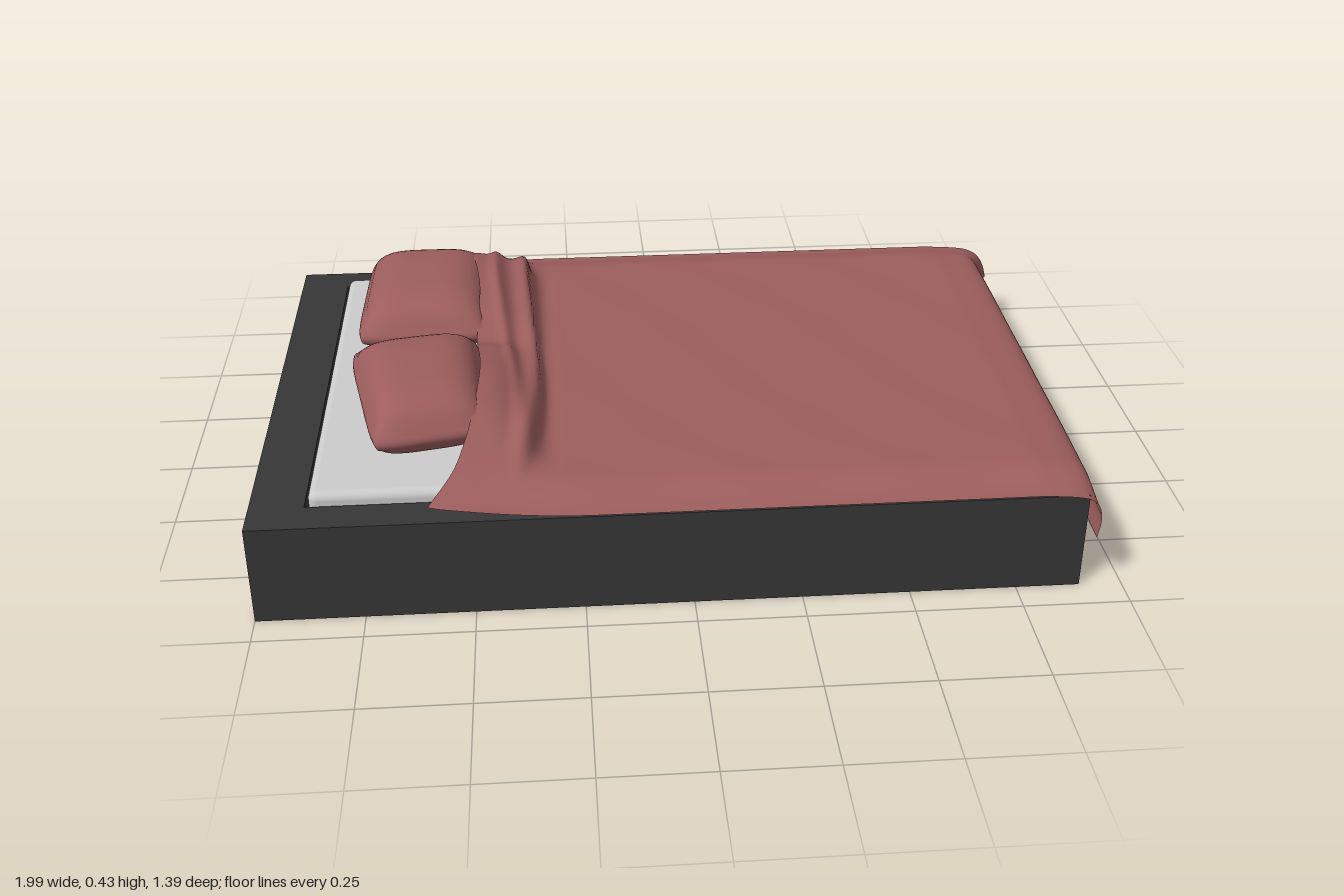
import * as THREE from 'three';
import { mergeVertices } from 'three/addons/utils/BufferGeometryUtils.js';
import { RoundedBoxGeometry } from 'three/addons/geometries/RoundedBoxGeometry.js';

const { smoothstep, lerp, clamp } = THREE.MathUtils;

// Smooth curve through [position, value] pairs
function curve(table, p) {
  p = clamp(p, table[0][0], table.at(-1)[0]);
  let i = 0;
  while (i < table.length - 2 && p > table[i + 1][0]) i++;
  const slope = (k) => {
    const a = table[Math.max(k - 1, 0)], b = table[Math.min(k + 1, table.length - 1)];
    return (b[1] - a[1]) / (b[0] - a[0]);
  };
  const [x0, y0] = table[i], [x1, y1] = table[i + 1];
  const w = x1 - x0, t = (p - x0) / w, t2 = t * t, t3 = t2 * t;
  return (2 * t3 - 3 * t2 + 1) * y0 + (t3 - 2 * t2 + t) * w * slope(i)
    + (3 * t2 - 2 * t3) * y1 + (t3 - t2) * w * slope(i + 1);
}

// Blanket profiles: head edge x and height across z, pillow falloff along x
const HEAD_X = [[-0.66, -0.62], [-0.55, -0.565], [-0.45, -0.525], [-0.2, -0.49], [0.02, -0.495],
  [0.25, -0.48], [0.45, -0.5], [0.53, -0.53], [0.64, -0.6]];
const HEAD_Y = [[-0.66, 0.256], [-0.58, 0.3], [-0.5, 0.345], [-0.42, 0.395], [-0.25, 0.412], [-0.1, 0.39],
  [0, 0.352], [0.1, 0.385], [0.25, 0.408], [0.4, 0.39], [0.48, 0.355], [0.55, 0.3], [0.64, 0.258]];
const FALLOFF = [[-0.5, 1], [-0.43, 0.85], [-0.38, 0.5], [-0.33, 0.04], [-0.28, 0]];
// Foot drop: x and share of the fall along the hem
const DROP_X = [[0, 0.8], [0.4, 0.89], [0.6, 0.92], [0.8, 0.928], [1, 0.922]];
const DROP_Y = [[0, 0], [0.4, 0.1], [0.6, 0.3], [0.8, 0.64], [1, 1]];
const HEM_Y = [[-0.67, 0.155], [-0.6, 0.166], [-0.2, 0.17], [0.3, 0.16], [0.69, 0.14]];

function blanketGeometry() {
  const flat = 110, drop = 22, across = 110;
  const positions = [], index = [];
  for (let i = 0; i <= flat + drop; i++) {
    const s = Math.min(i / flat, 1), q = Math.max(i - flat, 0) / drop;
    for (let j = 0; j <= across; j++) {
      const t = j / across;
      let z = lerp(-0.665, 0.69 - 0.055 * (1 - smoothstep(s, 0, 0.45)), t);
      const head = curve(HEAD_X, z);
      let x = q > 0 ? curve(DROP_X, q) : lerp(head, 0.8, s ** 1.6);

      // Flat cover with soft sides and faint ripples
      const edge = Math.min(t, 1 - t) * 1.35;
      const soft = smoothstep(edge, 0, 0.12);
      let y = 0.258 + 0.027 * soft;
      y += 0.0015 * soft * Math.sin(x * 17 + Math.sin(z * 5)) * Math.sin(z * 13);

      // Rise over the pillows and the folds below them
      y += (curve(HEAD_Y, z) - 0.258 - 0.027 * soft) * curve(FALLOFF, x);
      const bunch = 1 - smoothstep(Math.abs(z), 0.42, 0.6);
      const ridge = (cx, width) => Math.exp(-(((x - cx) / width) ** 2)) * bunch;
      const tall = ridge(-0.362 - 0.03 * z * z * 3 + 0.01 * Math.sin(z * 6), 0.02);
      y += 0.028 * tall * (1 - 0.4 * z);
      y += 0.012 * ridge(-0.42 + 0.03 * Math.sin(z * 4), 0.016);
      if (q === 0) x += 0.012 * tall;

      // Fall over the foot, with one flared corner
      y = lerp(y, curve(HEM_Y, z), curve(DROP_Y, q));
      const flare = smoothstep(-z, 0.57, 0.665) * q ** 1.5;
      x += 0.07 * flare;
      z -= 0.035 * flare;
      y -= 0.015 * flare;
      positions.push(x, y, z);
      if (i < flat + drop && j < across) {
        const a = i * (across + 1) + j, c = a + across + 1;
        index.push(a, a + 1, c, a + 1, c + 1, c);
      }
    }
  }
  const g = new THREE.BufferGeometry();
  g.setAttribute('position', new THREE.Float32BufferAttribute(positions, 3));
  g.setIndex(index);
  g.computeVertexNormals();
  return g;
}

// Cushion filling a four-cornered outline: [x, z] in order back-head, back-foot, front-foot, front-head
function pillowGeometry([a, b, c, d]) {
  let g = new THREE.BoxGeometry(2, 2, 2, 28, 6, 28);
  g.deleteAttribute('uv');
  g.deleteAttribute('normal');
  g = mergeVertices(g);
  const p = g.attributes.position;
  for (let i = 0; i < p.count; i++) {
    const u = p.getX(i), h = p.getY(i), v = p.getZ(i);
    const puff = ((1 - u ** 4) * (1 - v ** 4)) ** 0.7;
    const half = 0.02 + (h > 0 ? 0.065 : 0.05) * puff;
    const side = 1 - 0.05 * h * h;
    const s = (u * side * (1 - 0.06 * v ** 6) + 1) / 2, t = (v * side * (1 - 0.05 * u ** 6) + 1) / 2;
    const at = (k) => lerp(lerp(a[k], b[k], s), lerp(d[k], c[k], s), t);
    p.setXYZ(i, at(0), 0.343 + h * half, at(1));
  }
  g.computeVertexNormals();
  return g;
}

function rectangle(Type, x0, x1, z0, z1) {
  return new Type([[x0, -z1], [x1, -z1], [x1, -z0], [x0, -z0]].map(([x, y]) => new THREE.Vector2(x, y)));
}

export function createModel() {
  const model = new THREE.Group();
  model.name = 'bed';
  const dark = new THREE.MeshStandardMaterial({ color: 0x363636 });
  const grey = new THREE.MeshStandardMaterial({ color: 0xcccccc });
  const red = new THREE.MeshStandardMaterial({ color: 0x9c5d5d });
  const redCloth = new THREE.MeshStandardMaterial({ color: 0x9c5d5d, side: THREE.DoubleSide });
  const add = (name, geometry, material) => {
    const mesh = new THREE.Mesh(geometry, material);
    mesh.name = name;
    model.add(mesh);
    return mesh;
  };

  // Frame with a recess for the mattress, closed below
  const outline = rectangle(THREE.Shape, -1, 0.9, -0.635, 0.675);
  outline.holes.push(rectangle(THREE.Path, -0.875, 0.805, -0.55, 0.588));
  const rim = new THREE.ExtrudeGeometry(outline, { depth: 0.245, bevelEnabled: false });
  add('frame', rim.rotateX(-Math.PI / 2), dark);
  const floor = new THREE.BoxGeometry(1.7, 0.1, 1.16);
  add('frameFloor', floor.translate(-0.035, 0.05, 0.019), dark);

  // Mattress
  const mattress = new RoundedBoxGeometry(1.665, 0.172, 1.125, 4, 0.02);
  add('mattress', mattress.translate(-0.035, 0.187, 0.019), grey);

  // Pillows
  add('backPillow', pillowGeometry([[-0.79, -0.48], [-0.47, -0.48], [-0.46, -0.02], [-0.8, -0.02]]), red);
  add('frontPillow', pillowGeometry([[-0.81, 0.06], [-0.49, 0.005], [-0.455, 0.455], [-0.72, 0.51]]), red);

  // Blanket
  add('blanket', blanketGeometry(), redCloth);
  return model;
}
